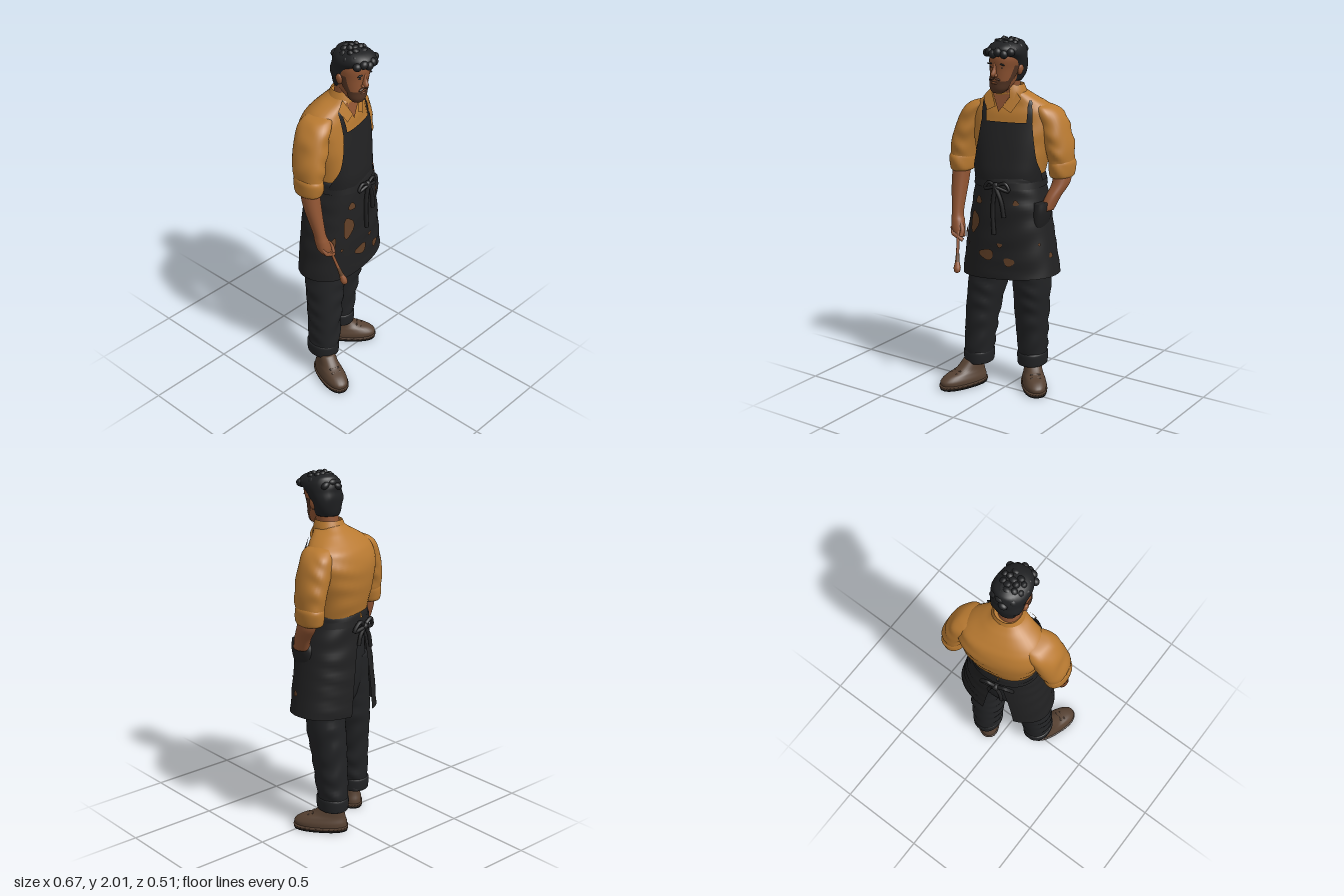
import * as THREE from 'three';

const mat = (name, color, side = THREE.FrontSide) => {
  const m = new THREE.MeshStandardMaterial({ color, side });
  m.name = name;
  return m;
};

// Ring layout: [x, y, z, radiusX, radiusZ, arcStart, arcEnd]; angle 0 is the front, +PI/2 the left side
const ringPoint = (r, a, yaw, p, grow = 0) => {
  const s = Math.sin(a), c = Math.cos(a);
  const x = (r[3] + grow) * Math.sign(s) * Math.abs(s) ** (2 / p);
  const z = (r[4] + grow) * Math.sign(c) * Math.abs(c) ** (2 / p);
  return [r[0] + x * Math.cos(yaw) + z * Math.sin(yaw), r[1], r[2] - x * Math.sin(yaw) + z * Math.cos(yaw)];
};

// Linear look-up of a profile at height y
const at = (rings, y) => {
  let i = 0;
  while (i < rings.length - 2 && rings[i + 1][1] < y) i++;
  const t = (y - rings[i][1]) / (rings[i + 1][1] - rings[i][1]);
  return rings[i].map((v, k) => v + (rings[i + 1][k] - v) * t);
};

// Smooth skin through stacked rings; rings with an arc make an open sheet
function loft(input, { yaw = 0, p = 2.2, grow = 0, seg = 32, steps = 5, wrinkle = 0, tilt = 0 } = {}) {
  const rings = input[0][1] > input[input.length - 1][1] ? [...input].reverse() : input;
  const open = rings[0].length > 5, n = rings.length, pos = [], idx = [];
  const cols = open ? seg + 1 : seg, rows = (n - 1) * steps + 1;
  for (let i = 0; i < rows; i++) {
    const k = Math.min(Math.floor(i / steps), n - 2), t = i / steps - k;
    const [a, b, c, d] = [k - 1, k, k + 1, k + 2].map((q) => rings[Math.max(0, Math.min(n - 1, q))]);
    const r = b.map((v, q) => v + 0.5 * t * (c[q] - a[q] + t * (2 * a[q] - 5 * v + 4 * c[q] - d[q] + t * (3 * (v - c[q]) + d[q] - a[q]))));
    for (let j = 0; j < cols; j++) {
      const ang = open ? r[5] + (r[6] - r[5]) * j / seg : j / seg * Math.PI * 2;
      const fold = wrinkle * Math.sin(r[1] * 55 + 2 * Math.sin(ang * 2 + r[1] * 9)) * Math.sin(ang * 1.5 + 1) ** 2;
      const [x, y, z] = ringPoint(r, ang, yaw, p, grow + fold);
      pos.push(x, y + tilt * x * (1 - i / (rows - 1)) ** 2, z);
    }
  }
  for (let i = 0; i < rows - 1; i++) for (let j = 0; j < seg; j++) {
    const q = i * cols + j, q2 = i * cols + (j + 1) % cols;
    idx.push(q, q2, q2 + cols, q, q2 + cols, q + cols);
  }
  if (!open) {
    const last = (rows - 1) * cols, c0 = pos.length / 3;
    pos.push(...rings[0].slice(0, 3), ...rings[n - 1].slice(0, 3));
    for (let j = 0; j < seg; j++) {
      const k = (j + 1) % seg;
      idx.push(c0, k, j, c0 + 1, last + j, last + k);
    }
  }
  const g = new THREE.BufferGeometry();
  g.setAttribute('position', new THREE.Float32BufferAttribute(pos, 3));
  g.setIndex(idx);
  g.computeVertexNormals();
  return g;
}

export function createModel() {
  const root = new THREE.Group();
  root.name = 'standingPainter';
  const shirt = mat('ochre shirt', 0xb97a31, THREE.DoubleSide), skin = mat('skin', 0x915533, THREE.DoubleSide);
  const apron = mat('apron black', 0x212122, THREE.DoubleSide), denim = mat('trouser charcoal', 0x222325);
  const hairM = mat('hair black', 0x1f2022), leather = mat('brown leather', 0x564132);
  const soleM = mat('sole black', 0x1b1a19), stainM = mat('paint stain', 0x624027, THREE.DoubleSide);
  const beardM = mat('beard brown', 0x543524, THREE.DoubleSide);

  const add = (name, geo, m, parent = root) => {
    const o = new THREE.Mesh(geo, m);
    o.name = name;
    parent.add(o);
    return o;
  };
  const blob = (name, m, [x, y, z], [sx, sy, sz], rz = 0) => {
    const o = add(name, new THREE.SphereGeometry(1, 16, 12), m);
    o.position.set(x, y, z);
    o.scale.set(sx, sy, sz);
    o.rotation.z = rz;
  };
  const tube = (name, m, pts, r) =>
    add(name, new THREE.TubeGeometry(new THREE.CatmullRomCurve3(pts.map((q) => new THREE.Vector3(...q))), 20, r, 8), m);
  const panel = (name, m, pts) => {
    const g = new THREE.BufferGeometry().setFromPoints(pts.map((q) => new THREE.Vector3(...q)));
    g.setIndex(pts.slice(2).flatMap((_, i) => [0, i + 1, i + 2]));
    g.computeVertexNormals();
    add(name, g, m);
  };

  // Shoes
  for (const [side, x, z, yaw] of [['right', -0.216, 0.106, -0.35], ['left', 0.143, -0.08, 0.7]]) {
    const shoe = new THREE.Group();
    shoe.name = side + 'Shoe';
    shoe.position.set(x, 0, z);
    shoe.rotation.y = yaw;
    root.add(shoe);
    add('sole', loft([[0, 0, 0, 0.067, 0.151], [0, 0.012, 0, 0.07, 0.154]], { p: 2.4, steps: 1 }), soleM, shoe);
    add('welt', loft([[0, 0.012, 0, 0.071, 0.155], [0, 0.028, 0, 0.071, 0.155]], { p: 2.4, steps: 1 }), leather, shoe);
    add('upper', loft([[0, 0.026, 0, 0.066, 0.15], [0, 0.05, 0, 0.066, 0.148], [0, 0.076, -0.014, 0.058, 0.126],
      [0, 0.1, -0.045, 0.051, 0.09], [0, 0.15, -0.07, 0.046, 0.058]], { p: 2.3 }), leather, shoe);
    for (let i = 0; i < 3; i++) {
      const lace = add('lace', new THREE.CapsuleGeometry(0.005, 0.05, 4, 8), leather, shoe);
      lace.rotation.z = Math.PI / 2;
      lace.position.set(0, 0.085 + i * 0.012, 0.068 - i * 0.026);
    }
  }

  // Trousers with rolled cuffs
  add('trouserSeat', loft([[0.0, 0.66, -0.05, 0.05, 0.05], [0.005, 0.78, -0.05, 0.14, 0.11], [0.01, 0.95, -0.045, 0.185, 0.145], [0.01, 1.15, -0.04, 0.175, 0.145], [0.01, 1.24, -0.04, 0.17, 0.14]], { yaw: 0.2 }), denim);
  const legs = {
    right: [[-0.08, 1.0, -0.04, 0.1, 0.13], [-0.125, 0.65, -0.02, 0.106, 0.115], [-0.152, 0.45, -0.002, 0.092, 0.102], [-0.172, 0.22, 0.008, 0.079, 0.092], [-0.176, 0.135, 0.006, 0.075, 0.09]],
    left: [[0.1, 1.0, -0.06, 0.1, 0.13], [0.115, 0.65, -0.09, 0.1, 0.115], [0.106, 0.45, -0.11, 0.092, 0.102], [0.1, 0.22, -0.13, 0.079, 0.09], [0.1, 0.135, -0.13, 0.075, 0.088]],
  };
  for (const side in legs) {
    add(side + 'TrouserLeg', loft(legs[side], { wrinkle: 0.005, steps: 14 }), denim);
    const [x, , z] = legs[side][4];
    add(side + 'TrouserCuff', loft([[x, 0.13, z, 0.073, 0.086], [x, 0.14, z, 0.079, 0.092], [x, 0.195, z, 0.082, 0.095], [x, 0.206, z, 0.074, 0.086]]), denim);
  }

  // Shirt body
  const torso = [[0.01, 1.13, -0.04, 0.165, 0.135], [0.01, 1.25, -0.045, 0.18, 0.153], [0.01, 1.4, -0.07, 0.21, 0.16], [0.01, 1.52, -0.085, 0.234, 0.152],
    [0.01, 1.595, -0.08, 0.228, 0.133], [0.01, 1.64, -0.067, 0.192, 0.112], [0.014, 1.68, -0.045, 0.135, 0.094], [0.018, 1.705, -0.028, 0.095, 0.083], [0.02, 1.725, -0.02, 0.07, 0.07]];
  const tOpt = { yaw: 0.25, p: 2.4 };
  add('shirtBody', loft(torso, { ...tOpt, wrinkle: 0.003, steps: 8 }), shirt);

  // Collar, open neck
  add('collarBand', loft([[0.018, 1.675, -0.02, 0.095, 0.09, 0.45, 5.75], [0.024, 1.715, -0.016, 0.084, 0.08, 0.4, 5.8], [0.026, 1.75, -0.014, 0.07, 0.07, 0.5, 5.7]], { yaw: 0.05 }), shirt);
  panel('openNeck', skin, [[-0.04, 1.7, 0.058], [0.005, 1.605, 0.074], [0.07, 1.7, 0.05]]);
  panel('rightCollarFlap', shirt, [[-0.06, 1.725, 0.05], [-0.1, 1.68, 0.06], [-0.06, 1.61, 0.088], [-0.01, 1.635, 0.08]]);
  panel('leftCollarFlap', shirt, [[0.085, 1.725, 0.035], [0.03, 1.635, 0.075], [0.08, 1.605, 0.068], [0.12, 1.68, 0.03]]);

  // Bib and shoulder straps follow the shirt
  const bib = [[1.18, 1.5], [1.27, 1.25], [1.35, 0.88], [1.45, 0.66], [1.555, 0.54]].map(([y, a]) => [...at(torso, y), -a, a]);
  add('apronBib', loft(bib, { ...tOpt, grow: 0.018 }), apron);
  for (const [side, s] of [['right', -1], ['left', 1]]) {
    const strap = [[1.53, 0.47], [1.595, 0.49], [1.64, 0.6], [1.67, 0.84]].map(([y, a]) => [...at(torso, y), s * a - 0.07, s * a + 0.07]);
    add(side + 'Strap', loft(strap, { ...tOpt, grow: 0.014, seg: 6 }), apron);
  }

  // Apron skirt, split at the back
  const skirt = [[0.014, 0.69, -0.042, 0.28, 0.184], [0.012, 0.9, -0.04, 0.248, 0.181], [0.014, 1.08, -0.038, 0.217, 0.176], [0.012, 1.2, -0.038, 0.194, 0.17], [0.012, 1.26, -0.04, 0.186, 0.162], [0.012, 1.275, -0.042, 0.16, 0.13]];
  const sOpt = { yaw: 0.15, p: 2.3 };
  const gaps = [0.3, 0.24, 0.15, 0.05, 0.01, 0], back = Math.PI + 0.12;
  add('apronSkirt', loft(skirt.map((r, i) => [...r, back + gaps[i] - Math.PI * 2, back - gaps[i]]), { ...sOpt, wrinkle: 0.003, seg: 60, steps: 8, tilt: 0.07 }), apron);
  add('waistTie', loft([1.2, 1.215, 1.235].map((y) => [...at(skirt, y), -Math.PI, Math.PI]), { ...sOpt, grow: 0.005, seg: 48 }), apron);
  add('pocketBulge', loft([[0.205, 0.93, -0.03, 0.015, 0.04], [0.212, 1.0, -0.03, 0.034, 0.07], [0.22, 1.07, -0.03, 0.044, 0.075], [0.222, 1.125, -0.022, 0.042, 0.06]], { yaw: 0.1 }), apron);

  // Bows, front and back
  blob('frontKnot', apron, [0.035, 1.22, 0.145], [0.02, 0.018, 0.016]);
  tube('frontLoopRight', apron, [[0.035, 1.22, 0.147], [-0.01, 1.235, 0.147], [-0.035, 1.2, 0.147], [0.03, 1.215, 0.152]], 0.009);
  tube('frontLoopLeft', apron, [[0.035, 1.22, 0.147], [0.09, 1.235, 0.135], [0.11, 1.195, 0.13], [0.04, 1.215, 0.152]], 0.009);
  tube('frontTailRight', apron, [[0.035, 1.22, 0.15], [0.02, 1.1, 0.15], [0.027, 0.95, 0.15]], 0.012);
  tube('frontTailLeft', apron, [[0.035, 1.22, 0.15], [0.07, 1.14, 0.145], [0.085, 1.05, 0.14]], 0.012);
  blob('backKnot', apron, [-0.045, 1.19, -0.22], [0.022, 0.02, 0.022]);
  tube('backLoopRight', apron, [[-0.045, 1.19, -0.22], [-0.1, 1.22, -0.21], [-0.13, 1.17, -0.185], [-0.05, 1.185, -0.215]], 0.011);
  tube('backLoopLeft', apron, [[-0.045, 1.19, -0.22], [0.0, 1.225, -0.237], [0.04, 1.18, -0.237], [-0.04, 1.185, -0.225]], 0.011);
  for (const [dx, y] of [[-0.04, 1.07], [0.045, 1.09]]) tube('backTail', apron, [[-0.045, 1.19, -0.225], [-0.045 + dx * 0.7, 1.14, -0.226], [-0.045 + dx, y, -0.228]], 0.011);

  // Paint stains: angle, height, half width, half height
  const stains = [[-0.6, 1.0, 0.033, 0.062], [-0.52, 1.125, 0.024, 0.022], [-0.2, 0.83, 0.034, 0.03], [0.22, 0.8, 0.022, 0.024], [0.45, 1.13, 0.017, 0.015],
    [-1.0, 0.92, 0.016, 0.03], [0.05, 0.89, 0.01, 0.012], [1.35, 0.83, 0.016, 0.016], [1.0, 0.9, 0.009, 0.009], [-0.75, 0.87, 0.008, 0.01]];
  stains.forEach(([a, y, w, h], n) => {
    const g = new THREE.CircleGeometry(1, 18), q = g.attributes.position;
    for (let i = 0; i < q.count; i++) {
      const k = 1 + 0.14 * Math.sin(i * 1.05 + n * 2);
      const yy = y + q.getY(i) * h * k;
      q.setXYZ(i, ...ringPoint(at(skirt, yy), a + q.getX(i) * w * k / 0.21, sOpt.yaw, sOpt.p, 0.008));
    }
    g.computeVertexNormals();
    add('paintStain', g, stainM);
  });

  // Sleeves with rolled cuffs
  const sleeves = {
    right: [[-0.13, 1.648, -0.03, 0.03, 0.05], [-0.165, 1.63, -0.027, 0.058, 0.078], [-0.2, 1.585, -0.022, 0.07, 0.097], [-0.232, 1.5, -0.012, 0.074, 0.1], [-0.262, 1.4, 0, 0.068, 0.098], [-0.275, 1.29, 0.01, 0.057, 0.08]],
    left: [[0.15, 1.645, -0.1, 0.03, 0.05], [0.18, 1.625, -0.11, 0.058, 0.078], [0.21, 1.58, -0.125, 0.07, 0.097], [0.235, 1.5, -0.135, 0.074, 0.1], [0.262, 1.4, -0.14, 0.068, 0.098], [0.272, 1.29, -0.145, 0.057, 0.08]],
  };
  for (const side in sleeves) {
    add(side + 'Sleeve', loft(sleeves[side], { wrinkle: 0.004, steps: 10 }), shirt);
    const [x, , z] = sleeves[side][5];
    add(side + 'SleeveCuff', loft([[x, 1.245, z, 0.048, 0.07], [x, 1.26, z, 0.059, 0.084], [x, 1.32, z, 0.064, 0.09], [x, 1.345, z, 0.056, 0.08]], { wrinkle: 0.003 }), shirt);
  }

  // Forearms and hands
  add('rightForearm', loft([[-0.275, 1.29, 0.015, 0.046, 0.056], [-0.278, 1.18, 0.035, 0.045, 0.05], [-0.268, 1.02, 0.075, 0.031, 0.036], [-0.26, 0.97, 0.085, 0.036, 0.038], [-0.25, 0.92, 0.095, 0.038, 0.036], [-0.235, 0.885, 0.1, 0.028, 0.026]]), skin);
  for (let i = 0; i < 4; i++) tube('finger', skin, [[-0.28 + i * 0.012, 0.935 - i * 0.008, 0.11], [-0.262 + i * 0.014, 0.9 - i * 0.006, 0.127], [-0.232 + i * 0.01, 0.885 - i * 0.005, 0.12]], 0.011);
  tube('thumb', skin, [[-0.235, 0.96, 0.095], [-0.212, 0.925, 0.11], [-0.212, 0.89, 0.125]], 0.013);
  add('leftForearm', loft([[0.275, 1.29, -0.142, 0.046, 0.058], [0.28, 1.22, -0.125, 0.045, 0.056], [0.262, 1.15, -0.075, 0.038, 0.05], [0.242, 1.08, -0.04, 0.036, 0.046]]), skin);

  // Paintbrush
  const brush = new THREE.Group();
  brush.name = 'paintbrush';
  brush.position.set(-0.19, 0.7, 0.195);
  brush.quaternion.setFromUnitVectors(new THREE.Vector3(0, 1, 0), new THREE.Vector3(-0.05, 0.25, -0.085).normalize());
  root.add(brush);
  add('bristles', new THREE.LatheGeometry([[0.001, 0], [0.016, 0.008], [0.02, 0.03], [0.012, 0.065]].map((q) => new THREE.Vector2(...q)), 14), skin, brush);
  add('ferrule', new THREE.CylinderGeometry(0.009, 0.013, 0.05, 14).translate(0, 0.085, 0), stainM, brush);
  add('handle', new THREE.CylinderGeometry(0.006, 0.009, 0.2, 12).translate(0, 0.2, 0), skin, brush);

  // Neck and head
  add('neck', loft([[0.018, 1.64, -0.02, 0.062, 0.064], [0.022, 1.72, -0.005, 0.058, 0.062], [0.03, 1.82, 0.01, 0.058, 0.064]]), skin);
  const head = [[0.014, 1.713, 0.088, 0.028, 0.024], [0.017, 1.735, 0.072, 0.048, 0.05], [0.022, 1.78, 0.046, 0.065, 0.08], [0.028, 1.84, 0.037, 0.075, 0.094], [0.035, 1.9, 0.037, 0.082, 0.1], [0.04, 1.96, 0.04, 0.062, 0.08]];
  const hYaw = -0.05;
  add('head', loft(head, { yaw: hYaw }), skin);
  add('beard', loft([[1.713, 1.6], [1.735, 1.5], [1.765, 1.4], [1.78, 1.3]].map(([y, a]) => [...at(head, y), -a, a]), { yaw: hYaw, grow: 0.005 }), beardM);
  for (const s of [-1, 1]) {
    add('sideburn', loft([[1.765, 1.15], [1.8, 1.35], [1.86, 1.5]].map(([y, a]) => [...at(head, y), s * a - 0.2, s * a + 0.2]), { yaw: hYaw, grow: 0.005, seg: 8 }), beardM);
    blob('ear', skin, [0.028 + s * 0.081, 1.835, 0.02], [0.013, 0.03, 0.02], -s * 0.15);
    blob('eye', hairM, [0.024 + s * 0.032, 1.852, 0.122], [0.01, 0.004, 0.005], -0.08);
    blob('eyebrow', hairM, [0.026 + s * 0.035, 1.87, 0.127], [0.021, 0.005, 0.006], -0.08 - s * 0.12);
    blob('moustacheHalf', beardM, [0.017 + s * 0.016, 1.79, 0.126], [0.02, 0.006, 0.008], -s * 0.25);
    blob('nostril', skin, [0.018 + s * 0.011, 1.81, 0.133], [0.01, 0.009, 0.012]);
  }
  add('nose', loft([[0.018, 1.8, 0.13, 0.01, 0.012], [0.018, 1.815, 0.135, 0.014, 0.023], [0.021, 1.845, 0.129, 0.01, 0.015], [0.023, 1.875, 0.125, 0.009, 0.01]], { seg: 16 }), skin);
  blob('lips', skin, [0.016, 1.768, 0.127], [0.019, 0.006, 0.008], -0.08);

  // Hair cap with short tousled locks
  add('hairCap', loft([[0.03, 1.772, -0.01, 0.06, 0.056], [0.032, 1.8, -0.012, 0.073, 0.064], [0.034, 1.86, -0.008, 0.09, 0.074], [0.038, 1.9, 0.014, 0.095, 0.092], [0.04, 1.928, 0.038, 0.095, 0.117],
    [0.041, 1.955, 0.042, 0.086, 0.113], [0.041, 1.978, 0.03, 0.064, 0.088], [0.041, 1.99, 0.015, 0.03, 0.045]], { wrinkle: 0.004 }), hairM);
  for (let i = 0; i < 26; i++) {
    const a = i * 2.4, r = Math.sqrt((i + 0.5) / 26);
    blob('hairLock', hairM, [0.04 + Math.sin(a) * 0.082 * r, 1.981 - 0.052 * r ** 3, 0.03 + Math.cos(a) * 0.108 * r], [0.026, 0.018, 0.02], a);
  }
  for (let i = 0; i < 6; i++) blob('fringeLock', hairM, [-0.03 + i * 0.028, 1.925 + 0.01 * (i % 2), 0.115 + 0.04 * Math.sin((i + 0.4) * 0.58)], [0.024, 0.022, 0.022], 0.6 * i);
  return root;
}
